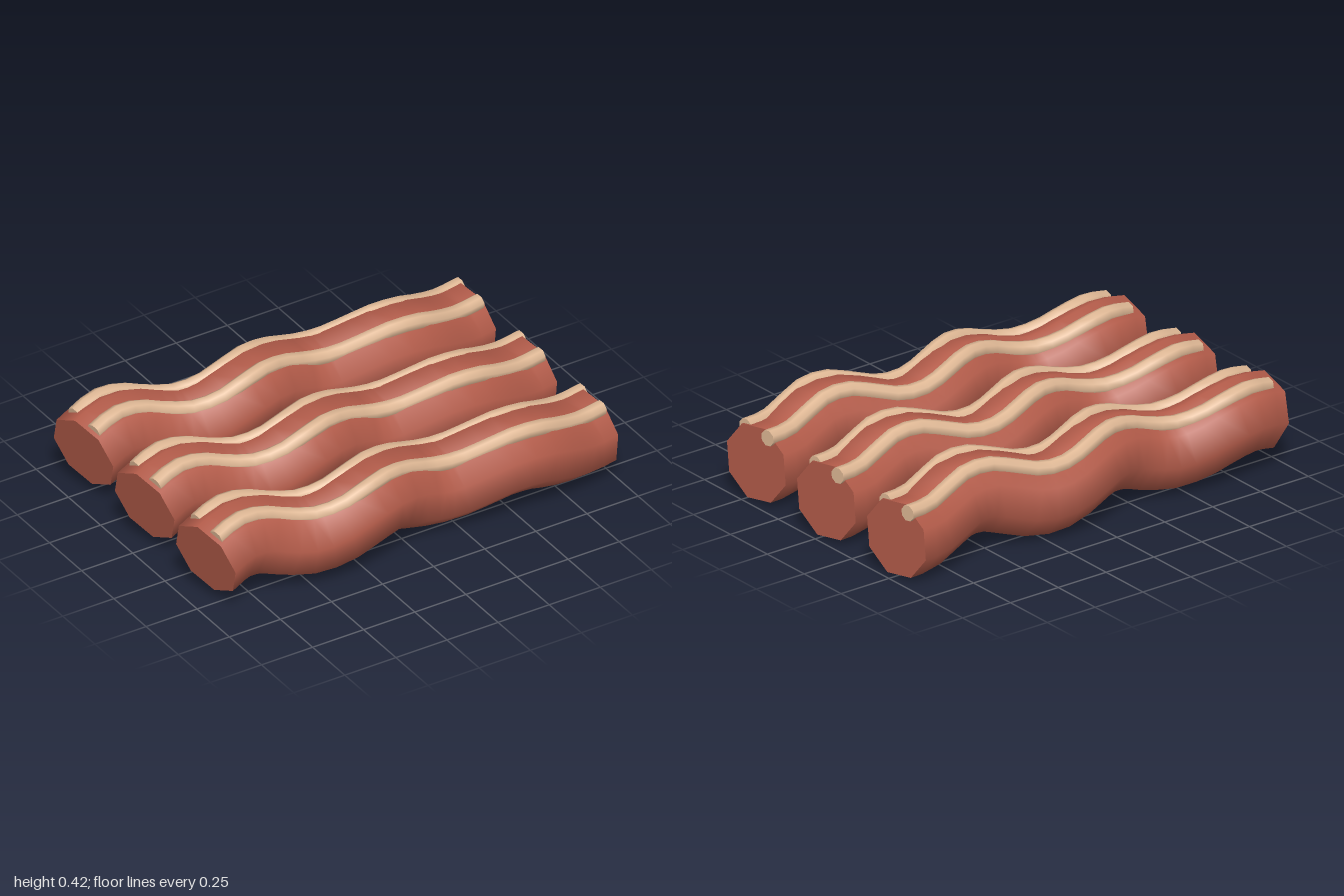
import * as THREE from 'three';
import { mergeGeometries } from 'three/addons/utils/BufferGeometryUtils.js';

const SIDES = 8;
const SEGMENTS = 28;

// Wavy centre line along x, undulating both up-down and sideways
function wavyPath(x0, x1, dy, dz) {
  const points = [];
  for (let i = 0; i <= 16; i++) {
    const x = x0 + ((x1 - x0) * i) / 16;
    const y = 0.217 + 0.037 * Math.cos((2 * Math.PI * (Math.min(x, 0.93) + 0.125)) / 0.67);
    const z = -0.036 * Math.cos((2 * Math.PI * (x + 0.72)) / 0.86);
    points.push(new THREE.Vector3(x, y + dy, z + dz));
  }
  return new THREE.CatmullRomCurve3(points);
}

// Flat end disc fanned over one ring of the tube
function endCap(tube, ring, centre, flip) {
  const p = tube.attributes.position;
  const first = ring * (SIDES + 1);
  const corners = [];
  for (let j = 0; j < SIDES; j++) {
    const a = new THREE.Vector3().fromBufferAttribute(p, first + j);
    const b = new THREE.Vector3().fromBufferAttribute(p, first + j + 1);
    corners.push(centre, ...(flip ? [b, a] : [a, b]));
  }
  // Turn the fan so that it faces out of the tube
  const normal = new THREE.Vector3().crossVectors(
    corners[1].clone().sub(centre), corners[2].clone().sub(centre));
  const wantPositive = ring > 0;
  if ((normal.x > 0) !== wantPositive) {
    for (let k = 0; k < corners.length; k += 3) {
      [corners[k + 1], corners[k + 2]] = [corners[k + 2], corners[k + 1]];
    }
  }
  const cap = new THREE.BufferGeometry().setFromPoints(corners);
  cap.computeVertexNormals();
  return cap;
}

// Smooth tube closed with flat ends
function cappedTube(path, radius) {
  const tube = new THREE.TubeGeometry(path, SEGMENTS, radius, SIDES, false);
  const start = endCap(tube, 0, path.getPointAt(0), false);
  const end = endCap(tube, SEGMENTS, path.getPointAt(1), false);
  const side = tube.toNonIndexed();
  side.deleteAttribute('uv');
  return mergeGeometries([side, start, end]);
}

export function createModel() {
  const meat = new THREE.MeshStandardMaterial({ name: 'meatRed', color: 0xb45c4a });
  const fat = new THREE.MeshStandardMaterial({ name: 'fatCream', color: 0xdfb895 });

  const model = new THREE.Group();
  model.name = 'baconStrips';

  const add = (parent, name, geometry, material) => {
    const mesh = new THREE.Mesh(geometry, material);
    mesh.name = name;
    parent.add(mesh);
  };

  // Three identical strips side by side
  const meatShape = cappedTube(wavyPath(-0.943, 0.968, 0, 0), 0.175);
  const fatShapes = [-0.075, 0.075].map((dz) =>
    cappedTube(wavyPath(-0.94, 0.968, 0.14, dz), 0.036));

  ['back', 'middle', 'front'].forEach((place, i) => {
    const strip = new THREE.Group();
    strip.name = place + 'Strip';
    strip.position.z = (i - 1) * 0.475;
    add(strip, 'meat', meatShape, meat);
    fatShapes.forEach((shape, k) => add(strip, k ? 'frontFatStreak' : 'backFatStreak', shape, fat));
    model.add(strip);
  });

  return model;
}
